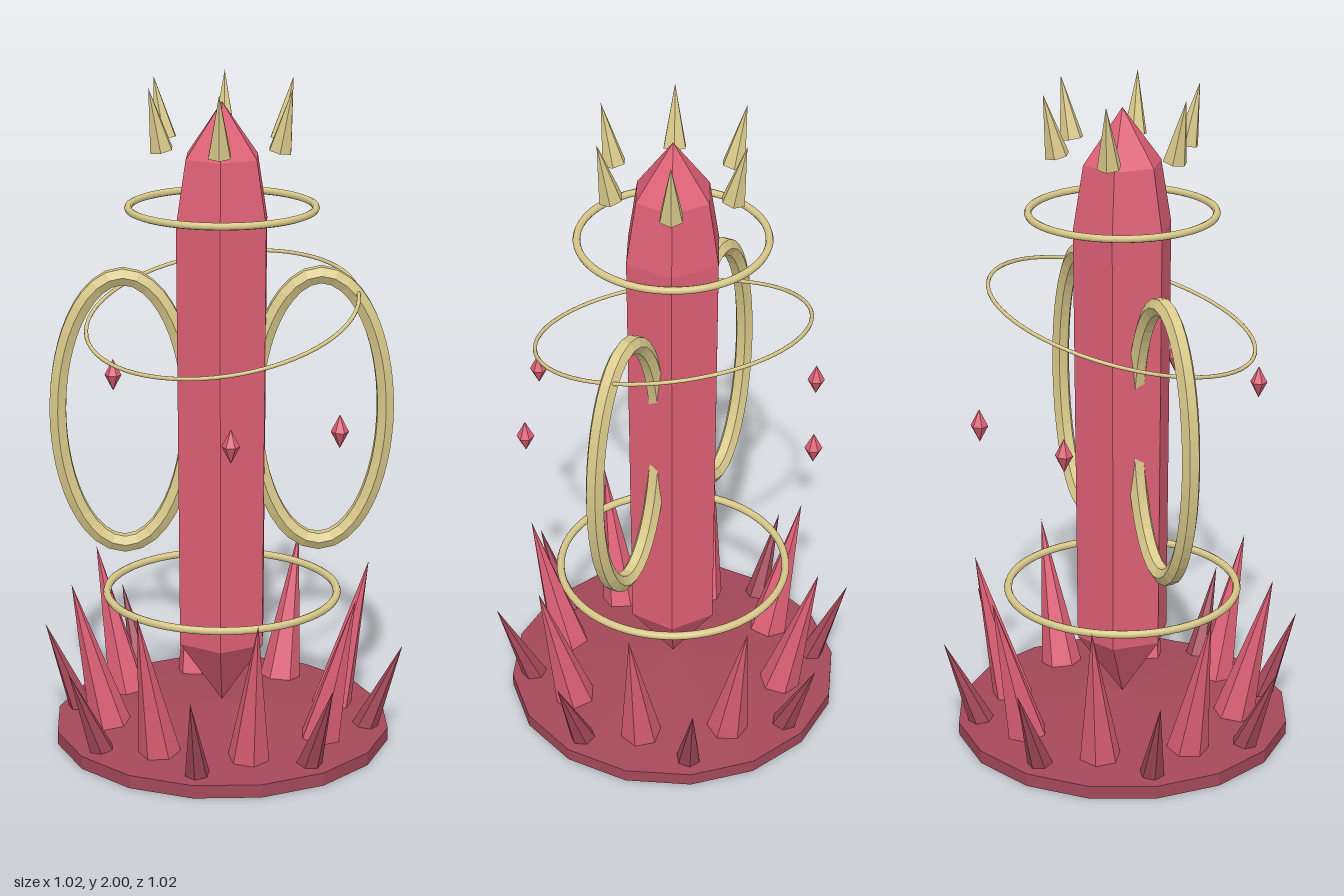
import * as THREE from 'three';

const crystal = new THREE.MeshStandardMaterial({ color: 0xde6076 });
crystal.name = 'rose crystal';
const darkCrystal = new THREE.MeshStandardMaterial({ color: 0xa44859 });
darkCrystal.name = 'dark rose';
const gold = new THREE.MeshStandardMaterial({ color: 0xd9c98a });
gold.name = 'pale gold';

// Give a geometry one normal per face
function faceted(geometry) {
  const g = geometry.index ? geometry.toNonIndexed() : geometry;
  g.computeVertexNormals();
  return g;
}

function addMesh(parent, name, geometry, material) {
  const mesh = new THREE.Mesh(geometry, material);
  mesh.name = name;
  parent.add(mesh);
  return mesh;
}

// Faceted solid of revolution from [radius, y] pairs, bottom to top
function turned(profile, sides) {
  return faceted(new THREE.LatheGeometry(profile.map(([r, y]) => new THREE.Vector2(r, y)), sides));
}

// Circle of spikes leaning outward, from the base centre to the tip
function spikeCircle(name, count, startAngle, size, from, to, material) {
  const group = new THREE.Group();
  group.name = name + 's';
  const [r0, y0] = from, [r1, y1] = to;
  const length = Math.hypot(r1 - r0, y1 - y0);
  const tilt = Math.atan2(r1 - r0, y1 - y0);
  for (let i = 0; i < count; i++) {
    const g = new THREE.ConeGeometry(size, length, 6);
    g.translate(0, length / 2, 0).rotateX(tilt).translate(0, y0, r0);
    g.rotateY(startAngle + (i * Math.PI * 2) / count);
    addMesh(group, name, faceted(g), material);
  }
  return group;
}

// Level ring, optionally tilted down toward the front
function hoop(parent, name, radius, tube, y, tilt = 0) {
  const g = new THREE.TorusGeometry(radius, tube, 8, 64).rotateX(Math.PI / 2 + tilt);
  addMesh(parent, name, g.translate(0, y, 0), gold);
}

// Upright oval loop
class Oval extends THREE.Curve {
  getPoint(t, target = new THREE.Vector3()) {
    const a = t * Math.PI * 2;
    return target.set(0.195 * Math.cos(a), 0.41 * Math.sin(a), 0);
  }
}

export function createModel() {
  const model = new THREE.Group();
  model.name = 'crystalMonument';

  // Shallow conical base
  addMesh(model, 'base', turned([[0, 0], [0.51, 0], [0.51, 0.04], [0, 0.1]], 16), darkCrystal);

  // Six-sided central column, pointed at both ends
  const column = turned([[0, 0.1], [0.143, 0.305], [0.15, 1.59], [0.118, 1.78], [0, 1.94]], 6);
  addMesh(model, 'column', column.rotateY(Math.PI / 6), crystal);

  // Crystal growths around the base
  model.add(spikeCircle('tallSpike', 8, 0, 0.065, [0.345, 0.04], [0.46, 0.51], crystal));
  model.add(spikeCircle('shortSpike', 8, Math.PI / 8, 0.04, [0.435, 0.03], [0.55, 0.31], darkCrystal));

  // Floating crown
  model.add(spikeCircle('crownSpike', 6, Math.PI / 6, 0.036, [0.195, 1.815], [0.235, 1.995], gold));

  // Encircling rings
  hoop(model, 'lowerRing', 0.347, 0.012, 0.455);
  hoop(model, 'upperRing', 0.272, 0.011, 1.632);
  hoop(model, 'tiltedRing', 0.403, 0.006, 1.32, 0.262);

  // Pair of upright oval loops running through the column
  const loops = new THREE.Group();
  loops.name = 'ovalLoops';
  for (const side of [-1, 1]) {
    const loop = faceted(new THREE.TubeGeometry(new Oval(), 48, 0.028, 6, true));
    addMesh(loops, side > 0 ? 'leftLoop' : 'rightLoop', loop.translate(side * 0.29, 1.02, 0), gold);
  }
  loops.rotation.y = 0.6;
  model.add(loops);

  // Floating shards
  const shards = new THREE.Group();
  shards.name = 'floatingShards';
  for (const [x, z] of [[0.445, 0.08], [0.26, 0.37]]) {
    for (const s of [-1, 1]) {
      const shard = turned([[0, -0.05], [0.026, 0], [0, 0.05]], 6);
      addMesh(shards, 'shard', shard, crystal).position.set(s * x, 1.045, s * z);
    }
  }
  model.add(shards);

  return model;
}
